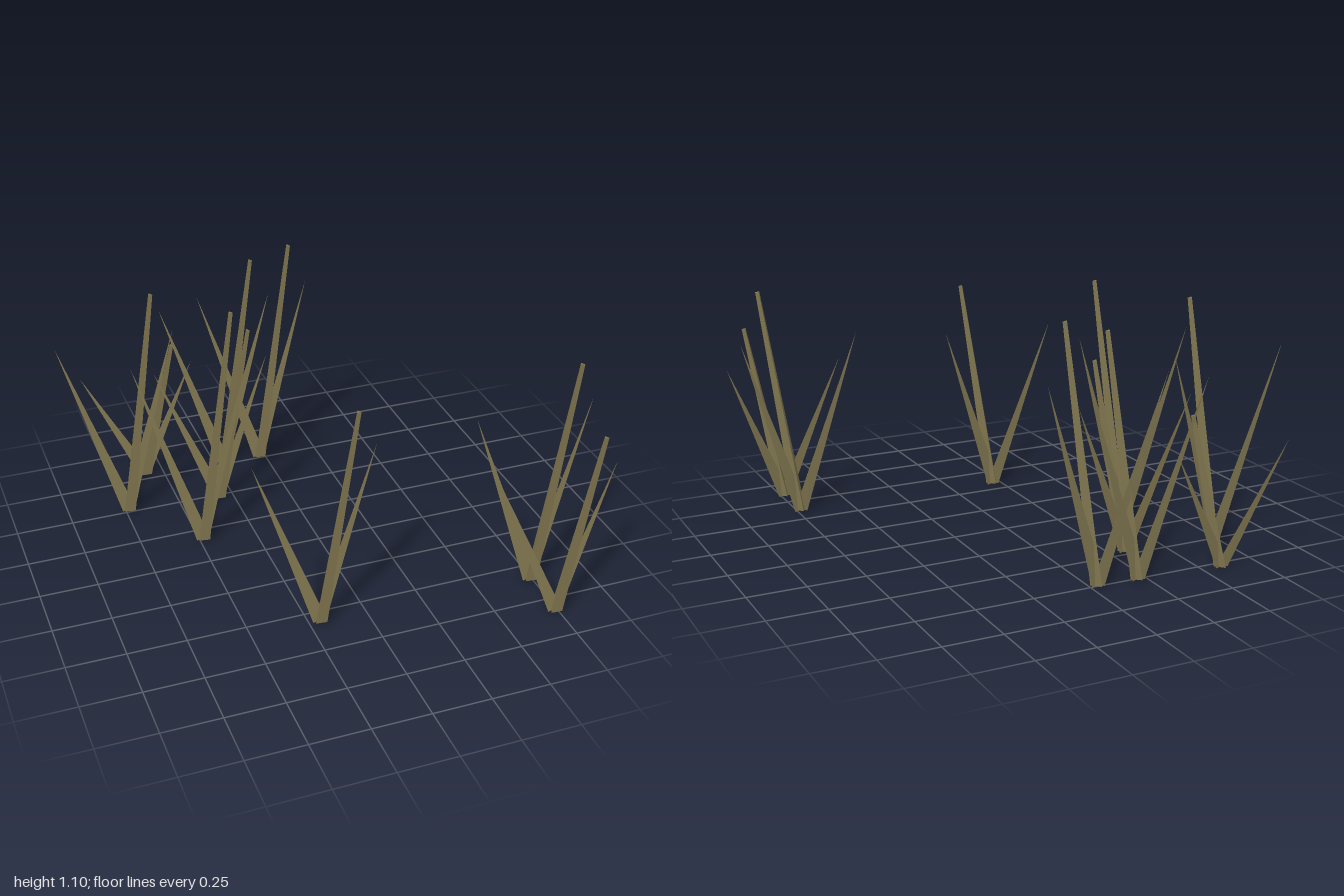
import * as THREE from 'three';

const material = new THREE.MeshStandardMaterial({ color: 0x857a52, flatShading: true, side: THREE.DoubleSide });

// Tall stem: three-sided tapered spike of unit height, leaning to +x
function stemGeometry() {
  const g = new THREE.CylinderGeometry(0.011, 0.03, 1, 3, 1, false, THREE.MathUtils.degToRad(65));
  const p = g.attributes.position;
  for (let i = 0; i < p.count; i++) {
    const t = p.getY(i) + 0.5;
    const x = p.getX(i);
    const cut = 0.01 - 0.15 * x; // ends cut square to the lean
    p.setXYZ(i, x + 0.155 * t, t === 0 ? cut : 1 - 0.15 * (x + 0.011), p.getZ(i) + 0.005 + 0.004 * t);
  }
  g.computeVertexNormals();
  return g;
}

// Side leaf: flat pointed blade leaning to one side and slightly back
function leafGeometry(side) {
  const g = new THREE.BufferGeometry();
  g.setAttribute('position', new THREE.Float32BufferAttribute([
    -0.028, 0.01 + 0.008 * side, 0,
    0.028, 0.01 - 0.008 * side, 0,
    0.262 * side, 0.797, -0.057,
  ], 3));
  g.computeVertexNormals();
  return g;
}

// Tufts: x, z, height
const tufts = [
  [-0.585, -0.797, 0.665],
  [-0.208, -0.77, 1.04],
  [-0.03, -0.76, 1.09],
  [-0.736, -0.512, 1.07],
  [-0.318, -0.478, 0.845],
  [-0.485, -0.17, 1.1],
  [-0.205, 0.568, 0.97],
  [0.735, 0.6, 1.02],
  [0.735, 0.832, 0.81],
];

export function createModel() {
  const model = new THREE.Group();
  model.name = 'grassPatch';
  const parts = [
    ['stem', stemGeometry()],
    ['leftLeaf', leafGeometry(1)],
    ['rightLeaf', leafGeometry(-1)],
  ];
  for (const [x, z, height] of tufts) {
    const tuft = new THREE.Group();
    tuft.name = 'grassTuft';
    for (const [name, geometry] of parts) {
      const mesh = new THREE.Mesh(geometry, material);
      mesh.name = name;
      tuft.add(mesh);
    }
    tuft.position.set(x, 0, z);
    tuft.scale.y = height;
    model.add(tuft);
  }
  return model;
}
